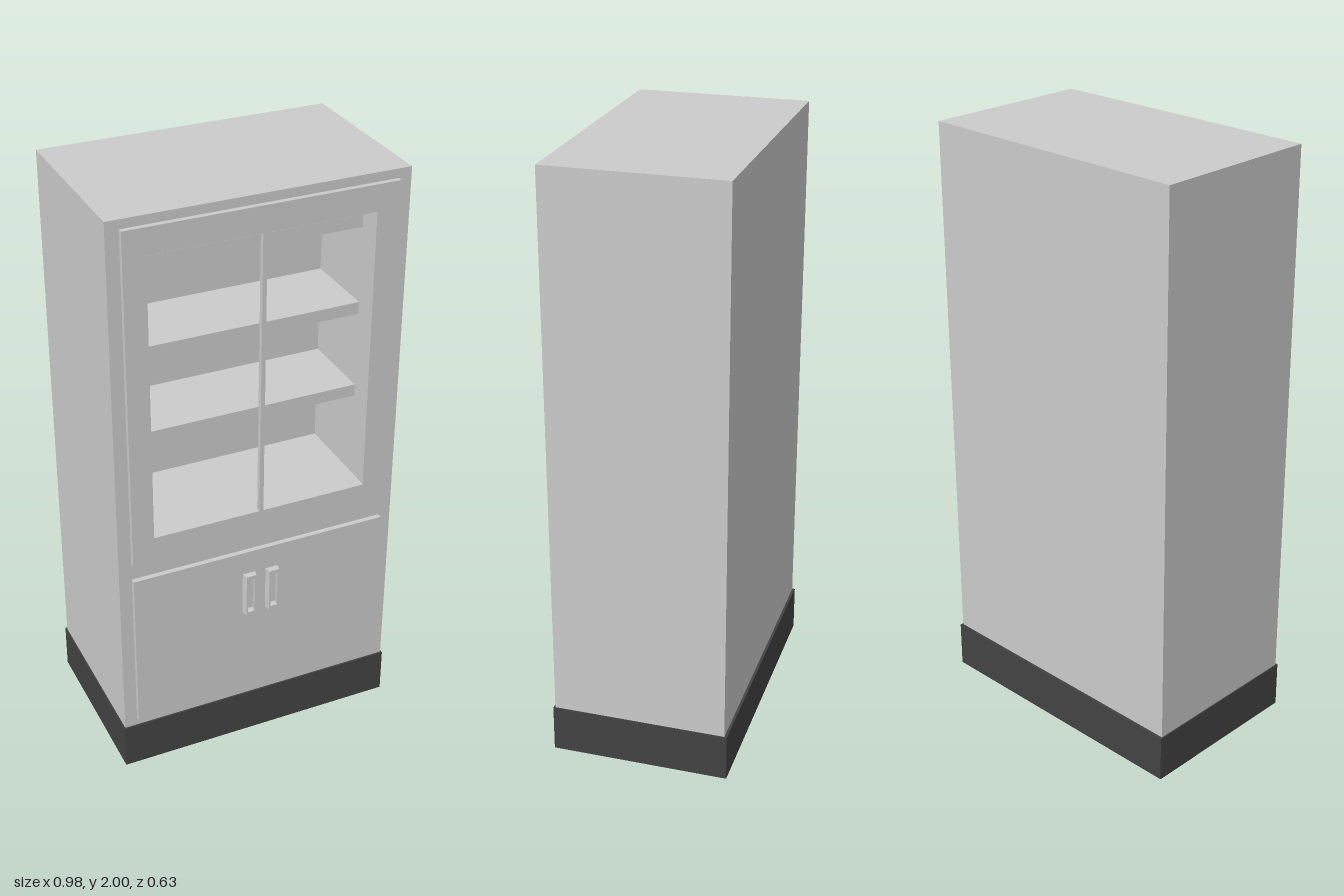
import * as THREE from 'three';

const grey = new THREE.MeshStandardMaterial({ color: 0xcccccc });
const inner = new THREE.MeshStandardMaterial({ color: 0xcccccc, side: THREE.BackSide });
const dark = new THREE.MeshStandardMaterial({ color: 0x434343 });

// Box given by its limits on each axis
function box([x0, x1], [y0, y1], [z0, z1]) {
  return new THREE.BoxGeometry(x1 - x0, y1 - y0, z1 - z0)
    .translate((x0 + x1) / 2, (y0 + y1) / 2, (z0 + z1) / 2);
}

// Box without its front (+z) face
function openBox(...limits) {
  const g = box(...limits);
  const index = Array.from(g.index.array);
  index.splice(24, 6);
  g.setIndex(index);
  g.clearGroups();
  return g;
}

function rect(target, x0, x1, y0, y1) {
  target.moveTo(x0, y0);
  target.lineTo(x1, y0);
  target.lineTo(x1, y1);
  target.lineTo(x0, y1);
  target.closePath();
  return target;
}

// Rectangle with rectangular holes, each given as [x0, x1, y0, y1]
function frameShape(outer, holes) {
  const shape = rect(new THREE.Shape(), ...outer);
  for (const h of holes) shape.holes.push(rect(new THREE.Path(), ...h));
  return shape;
}

const extrude = (shape, depth) =>
  new THREE.ExtrudeGeometry(shape, { depth, bevelEnabled: false });

export function createModel() {
  const group = new THREE.Group();
  const add = (name, geometry, material = grey) => {
    const mesh = new THREE.Mesh(geometry, material);
    mesh.name = name;
    group.add(mesh);
    return mesh;
  };

  // Plinth
  add('base', box([-0.49, 0.49], [0, 0.16], [-0.313, 0.281]), dark);

  // Carcass: outer shell, front rim and display cavity
  const front = 0.275, back = -0.304;
  const cavity = [-0.44, 0.44, 0.822, 1.955];
  add('cabinetShell', openBox([-0.486, 0.486], [0.16, 2], [back, front]));
  add('cabinetFront', new THREE.ShapeGeometry(
    frameShape([-0.486, 0.486, 0.16, 2], [cavity])).translate(0, 0, front));
  add('cabinetInterior', openBox([-0.44, 0.44], [0.822, 1.955], [-0.19, front]), inner);

  // Shelves
  for (const top of [1.165, 1.47, 1.775]) {
    add('shelf', box([-0.44, 0.44], [top - 0.042, top], [-0.19, 0.08]));
  }

  // Upper door frame with two openings
  const openings = [[-0.37, -0.007, 0.915, 1.883], [0.007, 0.367, 0.915, 1.883]];
  add('upperDoorFrame', extrude(
    frameShape([-0.443, 0.443, 0.825, 1.97], openings), 0.017).translate(0, 0, front));

  // Lower door panel
  const face = 0.292;
  add('lowerDoor', box([-0.443, 0.443], [0.19, 0.765], [front, face]));

  // Handles: hollow pulls narrowing towards the front
  const depth = 0.022;
  const pull = extrude(frameShape([-0.022, 0.022, -0.078, 0.078],
    [[-0.015, 0.015, -0.066, 0.066]]), depth);
  const p = pull.attributes.position;
  for (let i = 0; i < p.count; i++) {
    p.setX(i, p.getX(i) * (1 - 0.2 * p.getZ(i) / depth));
  }
  pull.computeVertexNormals();
  for (const x of [-0.042, 0.04]) add('handle', pull).position.set(x, 0.603, face);

  return group;
}
